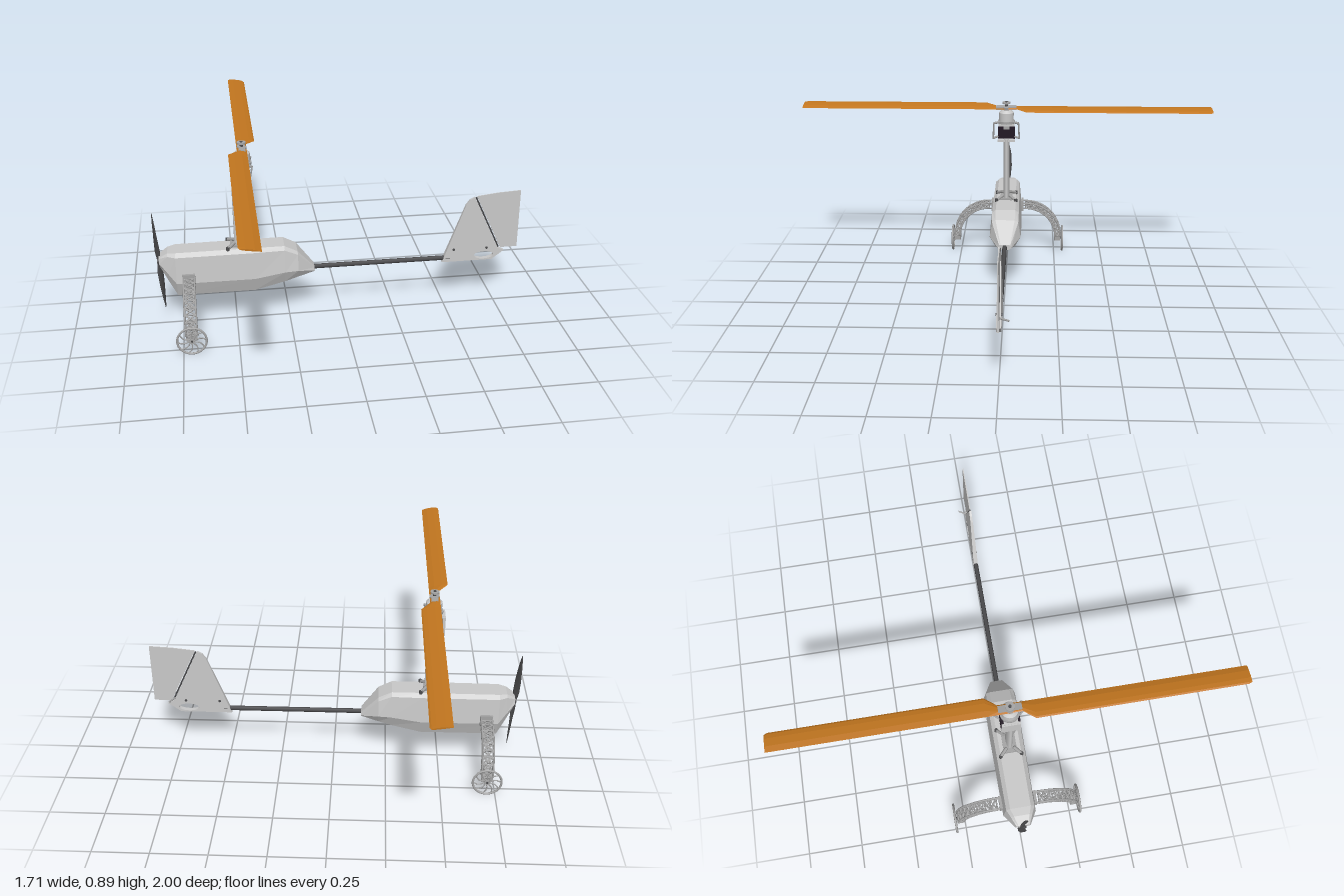
import * as THREE from 'three';

const mat = (name, color) => {
  const m = new THREE.MeshStandardMaterial({ color });
  m.name = name;
  return m;
};

export function createModel() {
  const shell = mat('light grey shell', 0xc8c8c8);
  const frame = mat('mid grey frame', 0xa4a4a4);
  const carbon = mat('dark grey carbon', 0x4c4c4e);
  const amber = mat('amber blade', 0xc2761f);
  const black = mat('black servo', 0x201622);
  const model = new THREE.Group();
  model.name = 'autogyro';

  const group = (name, parent = model) => {
    const g = new THREE.Group();
    g.name = name;
    parent.add(g);
    return g;
  };
  const add = (name, geo, material, pos = [0, 0, 0], parent = model) => {
    const m = new THREE.Mesh(geo, material);
    m.name = name;
    m.position.set(...pos);
    parent.add(m);
    return m;
  };
  const box = (name, size, material, pos, parent) =>
    add(name, new THREE.BoxGeometry(...size), material, pos, parent);
  const cyl = (name, r0, r1, h, material, pos, parent, n = 24) =>
    add(name, new THREE.CylinderGeometry(r0, r1, h, n), material, pos, parent);
  // Round strut between two points
  const bar = (name, a, b, r, material, parent) => {
    const p = new THREE.Vector3(...a), q = new THREE.Vector3(...b);
    const m = cyl(name, r, r, p.distanceTo(q), material, [0, 0, 0], parent, 6);
    m.position.copy(p).add(q).multiplyScalar(0.5);
    m.quaternion.setFromUnitVectors(new THREE.Vector3(0, 1, 0), q.sub(p).normalize());
    return m;
  };
  // Skin over rings stacked along +x, each running top, +z, bottom, -z
  const loft = (rings, flat) => {
    const n = rings[0].length, idx = [];
    for (let i = 0; i < rings.length - 1; i++) {
      for (let j = 0; j < n; j++) {
        const a = i * n + j, b = i * n + (j + 1) % n;
        idx.push(a, b, a + n, b, b + n, a + n);
      }
    }
    const e = (rings.length - 1) * n;
    for (let j = 1; j < n - 1; j++) idx.push(0, j + 1, j, e, e + j, e + j + 1);
    let g = new THREE.BufferGeometry();
    g.setAttribute('position', new THREE.Float32BufferAttribute(rings.flat(2), 3));
    g.setIndex(idx);
    if (flat) g = g.toNonIndexed();
    g.computeVertexNormals();
    return g;
  };

  // Fuselage: x, top, bottom, half width
  const stations = [
    [-0.84, 0.355, 0.315, 0.035], [-0.80, 0.38, 0.235, 0.056], [-0.765, 0.384, 0.17, 0.075],
    [-0.41, 0.386, 0.17, 0.077], [-0.27, 0.386, 0.205, 0.077], [-0.21, 0.355, 0.224, 0.075],
    [-0.13, 0.258, 0.233, 0.032],
  ];
  add('fuselage', loft(stations.map(([x, t, b, w]) => {
    const h = t - b;
    const half = [[t, 0.62], [t - 0.08 * h, 0.85], [b + 0.33 * h, 1], [b, 0.66]];
    return [...half.map(([y, k]) => [x, y, k * w]),
      ...half.reverse().map(([y, k]) => [x, y, -k * w])];
  }), true), shell);

  // Nose propeller
  const prop = group('propeller');
  prop.position.set(-0.842, 0.325, 0);
  prop.rotation.z = 0.06;
  const propRings = [[0, 0.009, 0.9], [0.05, 0.018, 0.75], [0.11, 0.022, 0.45], [0.18, 0.017, 0.3], [0.24, 0.004, 0.2]]
    .map(([r, c, a]) => Array.from({ length: 10 }, (_, i) => {
      const t = i / 10 * Math.PI * 2, y = Math.cos(t) * Math.min(0.004, c * 0.4), z = Math.sin(t) * c;
      return [r, y * Math.cos(a) - z * Math.sin(a), y * Math.sin(a) + z * Math.cos(a)];
    }));
  const propGeo = loft(propRings).rotateZ(Math.PI / 2);
  for (const a of [0, Math.PI]) add('propellerBlade', propGeo, carbon, [0, 0, 0], prop).rotation.x = a;
  cyl('propellerHub', 0.015, 0.015, 0.022, carbon, [0.004, 0, 0], prop).rotation.z = Math.PI / 2;

  // Landing gear: curved lattice legs and spoked wheels
  const arc = (r, x, k) => {
    const t = k * Math.PI / 2;
    return [x, 0.088 + r * Math.cos(t), 0.097 + r * Math.sin(t)];
  };
  for (const s of [1, -1]) {
    const gear = group(s > 0 ? 'frontSideGear' : 'backSideGear');
    gear.position.x = -0.71;
    if (s < 0) gear.rotation.y = Math.PI;
    box('legMount', [0.058, 0.056, 0.012], frame, [0, 0.26, 0.079], gear);
    const N = 9, rails = [[0.186, -0.025], [0.186, 0.025], [0.158, 0.025], [0.158, -0.025]];
    rails.forEach(([r, x], j) => {
      const [r2, x2] = rails[(j + 1) % 4];
      const pts = [[x, 0.088 + r, 0.075]];
      for (let i = 0; i <= N; i++) pts.push(arc(r, x, i / N));
      const curve = new THREE.CatmullRomCurve3(pts.map(p => new THREE.Vector3(...p)));
      add('legRail', new THREE.TubeGeometry(curve, 24, 0.004, 6), frame, [0, 0, 0], gear);
      for (let i = 0; i <= N; i++) {
        bar('legRung', arc(r, x, i / N), arc(r2, x2, i / N), 0.003, frame, gear);
        if (i === N) continue;
        bar('legBrace', arc(r, x, i / N), arc(r2, x2, (i + 1) / N), 0.003, frame, gear);
        bar('legBrace', arc(r2, x2, i / N), arc(r, x, (i + 1) / N), 0.003, frame, gear);
      }
    });
    box('legFoot', [0.05, 0.03, 0.03], frame, [0, 0.078, 0.268], gear);
    bar('axle', [0, 0.07, 0.265], [0, 0.07, 0.3], 0.006, carbon, gear);
    const wheel = group('wheel', gear);
    wheel.position.set(0, 0.07, 0.294);
    add('tyre', new THREE.TorusGeometry(0.065, 0.005, 8, 40), frame, [0, 0, 0], wheel);
    cyl('wheelHub', 0.012, 0.012, 0.01, frame, [0, 0, 0], wheel).rotation.x = Math.PI / 2;
    const spoke = new THREE.TubeGeometry(new THREE.QuadraticBezierCurve3(
      new THREE.Vector3(0.01, 0, 0), new THREE.Vector3(0.038, 0.022, 0), new THREE.Vector3(0.062, 0.002, 0)), 8, 0.0028, 6);
    for (let i = 0; i < 10; i++) add('spoke', spoke, frame, [0, 0, 0], wheel).rotation.z = i * Math.PI / 5;
  }

  // Mast on a bolted base
  const mast = cyl('mast', 1, 1, 0.32, shell, [-0.458, 0.54, 0]);
  mast.scale.set(0.038, 1, 0.015);
  box('mastBase', [0.1, 0.012, 0.06], frame, [-0.465, 0.39, 0]);
  for (const x of [-1, 1]) for (const z of [-1, 1]) {
    bar('baseArm', [-0.465 + x * 0.03, 0.406, z * 0.016], [-0.465 + x * 0.062, 0.39, z * 0.048], 0.008, frame);
    cyl('baseBolt', 0.008, 0.008, 0.016, carbon, [-0.465 + x * 0.062, 0.39, z * 0.048], model, 12);
  }

  // Tilting rotor head with servos and links
  const head = group('rotorHead');
  box('headFloor', [0.07, 0.012, 0.085], shell, [-0.46, 0.692, 0], head);
  box('headBack', [0.012, 0.085, 0.08], shell, [-0.489, 0.733, 0], head);
  box('headRoof', [0.065, 0.012, 0.06], shell, [-0.457, 0.772, 0], head);
  box('servo', [0.046, 0.05, 0.084], black, [-0.458, 0.726, 0], head);
  box('headYoke', [0.04, 0.03, 0.03], frame, [-0.445, 0.765, 0], head);
  for (const s of [1, -1]) {
    bar('servoArm', [-0.44, 0.712, s * 0.04], [-0.42, 0.708, s * 0.064], 0.005, frame, head);
    bar('pushRod', [-0.42, 0.705, s * 0.064], [-0.403, 0.788, s * 0.06], 0.004, frame, head);
    bar('tiltArm', [-0.403, 0.788, s * 0.06], [-0.43, 0.79, s * 0.02], 0.006, frame, head);
  }
  cyl('bearingPlate', 0.042, 0.042, 0.012, frame, [-0.443, 0.787, 0], head);
  cyl('bearingCan', 0.036, 0.036, 0.042, shell, [-0.443, 0.812, 0], head);
  cyl('bearingCap', 0.024, 0.036, 0.012, shell, [-0.443, 0.839, 0], head);
  cyl('rotorShaft', 0.007, 0.007, 0.05, carbon, [-0.443, 0.862, 0], head);
  cyl('shaftCap', 0.02, 0.02, 0.007, frame, [-0.443, 0.881, 0], head);

  // Two-bladed rotor: radius, trailing offset
  const rotor = group('rotor');
  rotor.position.set(-0.443, 0.857, 0);
  rotor.rotation.z = -0.16;
  const bladeGeo = loft([[0, 0.022], [0.05, 0.022], [0.1, 0.0625], [0.985, 0.0625], [1, 0.056]].map(([r, e]) => {
    const at = (k, y) => [r, y, -0.0225 + k * (e + 0.0225)];
    return [at(0.3, 0.004), at(0.7, 0.005), at(0.92, 0.003), at(1, 0), at(0.85, -0.002), at(0.3, -0.002), at(0, -0.001)];
  }), true);
  for (const a of [-1, 1]) add('rotorBlade', bladeGeo, amber, [0, 0, 0], rotor).rotation.y = a * Math.PI / 2;
  cyl('rotorHub', 0.022, 0.022, 0.014, frame, [0, 0, 0], rotor);
  box('bladeClamp', [0.03, 0.013, 0.1], frame, [0, 0, 0], rotor);

  // Tail boom
  bar('tailBoom', [-0.17, 0.247, 0], [0.52, 0.247, 0], 0.011, carbon);

  // Fin with a skid opening, and rudder
  const plate = (pts, depth, hole) => {
    const s = new THREE.Shape(pts.map(p => new THREE.Vector2(...p)));
    if (hole) s.holes.push(hole);
    const g = new THREE.ExtrudeGeometry(s, { depth, bevelEnabled: false, curveSegments: 20 });
    g.translate(0, 0, -depth / 2);
    const p = g.attributes.position;
    // Thin the plate toward its tip
    for (let i = 0; i < p.count; i++) p.setZ(i, p.getZ(i) * (1 - 1.6 * Math.max(0, p.getY(i) - 0.22)));
    g.computeVertexNormals();
    return g;
  };
  const opening = new THREE.Path();
  opening.absellipse(0.685, 0.253, 0.048, 0.019, 0, Math.PI * 2);
  add('fin', plate([[0.482, 0.228], [0.724, 0.228], [0.783, 0.272], [0.752, 0.286], [0.628, 0.555],
    [0.605, 0.543], [0.587, 0.518]], 0.022, opening), shell);
  add('rudder', plate([[0.766, 0.286], [0.847, 0.286], [0.847, 0.576], [0.74, 0.57], [0.637, 0.558]], 0.01), shell);
  bar('rudderHinge', [0.634, 0.552, 0], [0.757, 0.288, 0], 0.004, carbon);
  bar('rudderHorn', [0.745, 0.3, 0], [0.77, 0.3, -0.042], 0.004, frame);
  for (const x of [0.537, 0.697]) cyl('finBolt', 0.006, 0.006, 0.026, carbon, [x, 0.291, 0], model, 12).rotation.x = Math.PI / 2;

  return model;
}
